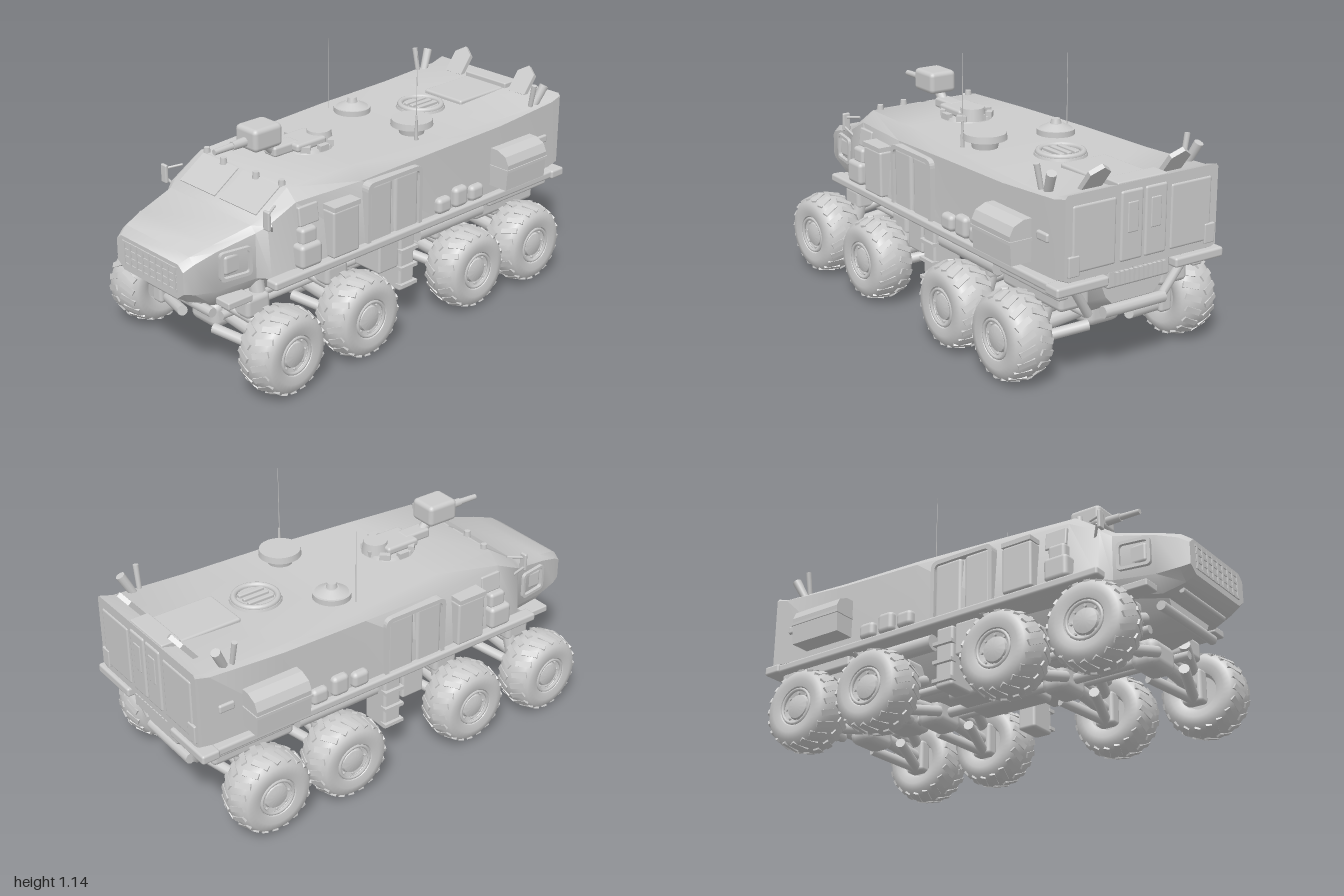
import * as THREE from 'three';
import { toCreasedNormals } from 'three/addons/utils/BufferGeometryUtils.js';
import { RoundedBoxGeometry } from 'three/addons/geometries/RoundedBoxGeometry.js';

const mat = new THREE.MeshStandardMaterial({ color: 0xcccccc });
const V = (x, y, z) => new THREE.Vector3(x, y, z);

function add(parent, name, geo, x = 0, y = 0, z = 0) {
  const m = new THREE.Mesh(geo, mat);
  m.name = name;
  m.position.set(x, y, z);
  parent.add(m);
  return m;
}
// box given by its min and max corners, optionally rounded
function block(parent, name, x0, x1, y0, y1, z0, z1, r = 0) {
  const d = [x1 - x0, y1 - y0, z1 - z0];
  const g = r ? new RoundedBoxGeometry(...d, 2, r) : new THREE.BoxGeometry(...d);
  return add(parent, name, g, (x0 + x1) / 2, (y0 + y1) / 2, (z0 + z1) / 2);
}
function disc(parent, name, x, y0, y1, z, r0, r1 = r0, seg = 24) {
  return add(parent, name, new THREE.CylinderGeometry(r1, r0, y1 - y0, seg), x, (y0 + y1) / 2, z);
}
// round bar between two points
function rod(parent, name, a, b, r, r2 = r) {
  const d = b.clone().sub(a);
  const m = add(parent, name, new THREE.CylinderGeometry(r2, r, d.length(), 10));
  m.position.copy(a).addScaledVector(d, 0.5);
  m.quaternion.setFromUnitVectors(V(0, 1, 0), d.normalize());
  return m;
}
const both = (fn) => [1, -1].forEach(fn);

// Symmetric loft along x; section = [x, then (z, y) pairs from bottom to top]
function loft(sections) {
  const pos = [], idx = [];
  const n = sections[0].length - 1;
  for (const [x, ...p] of sections) {
    for (let i = 0; i < n; i += 2) pos.push(x, p[i + 1], p[i]);
    for (let i = n - 2; i >= 0; i -= 2) pos.push(x, p[i + 1], -p[i]);
  }
  for (let s = 0; s < sections.length - 1; s++)
    for (let i = 0; i < n; i++) {
      const a = s * n + i, b = s * n + (i + 1) % n;
      idx.push(a, a + n, b, b, a + n, b + n);
    }
  const last = (sections.length - 1) * n;
  for (let i = 1; i < n - 1; i++) {
    idx.push(0, i, i + 1);
    idx.push(last, last + i + 1, last + i);
  }
  const g = new THREE.BufferGeometry();
  g.setAttribute('position', new THREE.Float32BufferAttribute(pos, 3));
  g.setIndex(idx);
  return toCreasedNormals(g, 0.7);
}
// rounded rectangular frame
function frame(w, h, r, t, depth) {
  const rr = (S, w, h, r) => new S().moveTo(-w + r, -h).lineTo(w - r, -h).quadraticCurveTo(w, -h, w, -h + r)
    .lineTo(w, h - r).quadraticCurveTo(w, h, w - r, h).lineTo(-w + r, h).quadraticCurveTo(-w, h, -w, h - r)
    .lineTo(-w, -h + r).quadraticCurveTo(-w, -h, -w + r, -h);
  const s = rr(THREE.Shape, w, h, r);
  s.holes.push(rr(THREE.Path, w - t, h - t, r * 0.7));
  return new THREE.ExtrudeGeometry(s, { depth, bevelEnabled: false, curveSegments: 5 });
}

// Wheel: balloon tyre, small dished rim, hub and shallow slanted lugs; outside faces +z
function wheel() {
  const g = new THREE.Group();
  g.name = 'wheel';
  const pts = [[0, -0.04], [0.07, -0.045], [0.08, -0.075], [0.115, -0.09], [0.145, -0.084], [0.165, -0.062], [0.171, -0.03], [0.173, 0],
    [0.171, 0.03], [0.165, 0.062], [0.145, 0.084], [0.115, 0.09], [0.085, 0.082], [0.074, 0.065], [0.055, 0.06], [0.05, 0.072], [0.03, 0.078], [0, 0.08]];
  const tyre = toCreasedNormals(new THREE.LatheGeometry(pts.map(p => new THREE.Vector2(...p)), 36), 0.7);
  add(g, 'tyre', tyre).rotation.x = Math.PI / 2;
  add(g, 'rimRing', new THREE.TorusGeometry(0.074, 0.007, 6, 24), 0, 0, 0.077);
  const lug = new THREE.BoxGeometry(0.024, 0.016, 0.07), bolt = new THREE.CylinderGeometry(0.006, 0.006, 0.014, 6).rotateX(Math.PI / 2);
  for (let i = 0; i < 20; i++) both(s => {
    const p = new THREE.Group();
    p.rotation.z = (i + (s > 0 ? 0 : 0.5)) / 20 * Math.PI * 2;
    g.add(p);
    add(p, 'treadLug', lug, 0, 0.1625, s * 0.042).rotation.set(s * 0.26, s * 0.4, 0);
  });
  for (let i = 0; i < 8; i++) add(g, 'wheelBolt', bolt, 0.062 * Math.cos(i * Math.PI / 4), 0.062 * Math.sin(i * Math.PI / 4), 0.064);
  return g;
}

export function createModel() {
  const root = new THREE.Group();
  root.name = 'armouredTruck';

  // Hull: nose, hood, windshield slope, long body
  add(root, 'hull', loft([
    [-1.0, 0.17, 0.41, 0.21, 0.44, 0.21, 0.53, 0.18, 0.555],
    [-0.96, 0.18, 0.385, 0.225, 0.43, 0.225, 0.555, 0.2, 0.58],
    [-0.87, 0.2, 0.355, 0.245, 0.42, 0.245, 0.585, 0.22, 0.605],
    [-0.7, 0.24, 0.38, 0.275, 0.43, 0.275, 0.62, 0.25, 0.645],
    [-0.66, 0.25, 0.4, 0.32, 0.43, 0.3, 0.645, 0.265, 0.67],
    [-0.53, 0.26, 0.41, 0.35, 0.43, 0.315, 0.71, 0.265, 0.757],
    [-0.2, 0.26, 0.42, 0.36, 0.44, 0.335, 0.71, 0.285, 0.765],
    [0.2, 0.26, 0.42, 0.36, 0.44, 0.356, 0.73, 0.325, 0.762],
    [0.6, 0.26, 0.42, 0.365, 0.45, 0.362, 0.74, 0.342, 0.762],
    [0.93, 0.3, 0.43, 0.365, 0.46, 0.365, 0.765, 0.35, 0.775],
    [0.99, 0.34, 0.46, 0.362, 0.47, 0.362, 0.78, 0.352, 0.792]]));

  // Lower V-shaped chassis, belly equipment and drive line
  add(root, 'chassis', loft([
    [-0.87, 0.1, 0.3, 0.14, 0.33, 0.18, 0.4], [-0.6, 0.1, 0.23, 0.16, 0.27, 0.24, 0.42],
    [0.8, 0.1, 0.23, 0.16, 0.27, 0.24, 0.44], [0.94, 0.1, 0.31, 0.13, 0.34, 0.18, 0.46]]));
  block(root, 'bellyPlate', -0.14, 0.2, 0.195, 0.28, -0.14, 0.14, 0.02);
  block(root, 'transferCase', 0.45, 0.6, 0.17, 0.28, -0.08, 0.08, 0.03);
  rod(root, 'driveShaft', V(-0.7, 0.205, 0), V(0.75, 0.205, 0), 0.022);
  rod(root, 'frontCrossMember', V(-0.86, 0.31, -0.2), V(-0.86, 0.31, 0.2), 0.02);
  both(s => rod(root, 'torsionBar', V(-0.78, 0.25, s * 0.15), V(0.86, 0.25, s * 0.15), 0.018));

  // Grille and tow gear
  const grille = new THREE.Group();
  grille.name = 'grille';
  root.add(grille);
  for (let i = 0; i < 9; i++) block(grille, 'grilleBar', -1.006, -0.985, 0.435, 0.54, -0.165 + i * 0.04, -0.155 + i * 0.04);
  for (let i = 0; i < 4; i++) block(grille, 'grilleSlat', -1.004, -0.985, 0.435 + i * 0.031, 0.446 + i * 0.031, -0.17, 0.17);
  rod(root, 'frontTowBar', V(-0.93, 0.37, -0.16), V(-0.93, 0.37, 0.16), 0.012);

  // Axles, suspension and wheels
  [[-0.7, 0.418, 0.07], [-0.285, 0.402, 0.02], [0.348, 0.402, 0], [0.722, 0.402, 0]].forEach(([x, zc, steer]) => {
    const axle = new THREE.Group();
    axle.name = 'axle';
    root.add(axle);
    block(axle, 'differential', x - 0.06, x + 0.06, 0.143, 0.26, -0.085, 0.085, 0.035);
    both(s => {
      rod(axle, 'halfShaft', V(x, 0.21, s * 0.06), V(x, 0.178, s * 0.36), 0.03);
      both(d => rod(axle, 'lowerArm', V(x + d * 0.08, 0.175, s * 0.1), V(x, 0.135, s * 0.32), 0.022));
      both(d => rod(axle, 'upperArm', V(x + d * 0.06, 0.3, s * 0.15), V(x, 0.24, s * 0.33), 0.024));
      rod(axle, 'damper', V(x + 0.03, 0.4, s * 0.23), V(x + 0.03, 0.19, s * 0.29), 0.034, 0.026);
      block(axle, 'springMount', x - 0.06, x + 0.06, 0.27, 0.36, s * 0.225 - 0.065, s * 0.225 + 0.065, 0.02);
      block(axle, 'hubCarrier', x - 0.045, x + 0.045, 0.115, 0.26, s * 0.325 - 0.03, s * 0.325 + 0.03, 0.015);
      const w = wheel();
      w.position.set(x, 0.18, s * zc);
      w.rotation.y = (s > 0 ? 0 : Math.PI) + steer;
      axle.add(w);
    });
  });

  // Mirrored side equipment
  both(s => {
    const side = new THREE.Group();
    side.name = s > 0 ? 'frontSideFittings' : 'backSideFittings';
    root.add(side);
    const box = (name, x0, x1, y0, y1, z0, z1, r) => block(side, name, x0, x1, y0, y1, Math.min(s * z0, s * z1), Math.max(s * z0, s * z1), r);
    box('sideRail', -0.7, 0.98, 0.412, 0.448, 0.33, 0.39, 0.01);
    for (const x of [-0.56, -0.14, 0.52]) rod(side, 'railStrut', V(x, 0.42, s * 0.36), V(x - 0.06, 0.31, s * 0.2), 0.013);
    box('mudFlap', -0.86, -0.74, 0.355, 0.385, 0.22, 0.3, 0.006);
    // Rounded side door with two panels
    add(side, 'doorFrame', frame(0.155, 0.145, 0.035, 0.018, 0.04), -0.045, 0.56, s > 0 ? 0.335 : -0.375);
    box('doorPanelFront', -0.185, -0.055, 0.43, 0.69, 0.33, 0.366, 0.015);
    box('doorPanelRear', -0.04, 0.095, 0.43, 0.69, 0.33, 0.366, 0.015);
    // Headlight frame on the nose flank
    add(side, 'headlightFrame', frame(0.07, 0.06, 0.02, 0.013, 0.03), -0.79, 0.52, s > 0 ? 0.245 : -0.275).rotation.y = -s * 0.15;
    box('headlight', -0.84, -0.74, 0.48, 0.56, 0.23, 0.262, 0.012);
    // Lockers, cans and tanks along the flank
    box('cabLocker', -0.4, -0.26, 0.45, 0.65, 0.31, 0.39, 0.01);
    box('lockerLid', -0.4, -0.26, 0.65, 0.67, 0.28, 0.395);
    box('cabSideBox', -0.56, -0.45, 0.45, 0.55, 0.31, 0.385, 0.018);
    box('cabSideCan', -0.54, -0.46, 0.54, 0.61, 0.31, 0.365, 0.015);
    // Rear locker with a sloping outer top edge
    const locker = new THREE.Shape([[0.34, 0.485], [0.455, 0.485], [0.462, 0.6], [0.445, 0.635], [0.4, 0.655], [0.34, 0.655]].map(p => new THREE.Vector2(s * p[0], p[1])));
    const lockerGeo = new THREE.ExtrudeGeometry(locker, { depth: 0.25, bevelEnabled: false }).rotateY(-Math.PI / 2);
    add(side, 'rearLocker', lockerGeo, 0.79, 0, 0);
    box('rearLockerStrap', 0.535, 0.795, 0.568, 0.58, 0.35, 0.465);
    box('vent', 0.83, 0.9, 0.59, 0.625, 0.35, 0.376, 0.008);
    for (let i = 0; i < 3; i++) box('stowedCan', 0.2 + i * 0.1, 0.28 + i * 0.1, 0.45, 0.52 + (i % 2) * 0.02, 0.34, 0.39, 0.02);
    rod(side, 'stowedRoll', V(0.13, 0.37, s * 0.32), V(0.52, 0.37, s * 0.32), 0.035);
    box('underLocker', -0.11, 0.0, 0.27, 0.41, 0.2, 0.35, 0.01);
    box('stepBox', 0.01, 0.095, 0.15, 0.41, 0.22, 0.35, 0.012);
    for (let i = 0; i < 3; i++) box('step', 0.005, 0.1, 0.17 + i * 0.08, 0.185 + i * 0.08, 0.33, 0.365);
    box('rearSideTank', 0.52, 0.9, 0.3, 0.42, 0.17, 0.31, 0.02);
    box('rearSidePanel', 0.56, 0.94, 0.37, 0.42, 0.3, 0.35, 0.01);
    rod(side, 'rearSpringArm', V(0.92, 0.42, s * 0.28), V(0.9, 0.27, s * 0.18), 0.018);
    // Windshield pane, cab side window and mirror
    add(side, 'windshield', new THREE.BoxGeometry(0.15, 0.012, 0.22), -0.598, 0.71, s * 0.125).rotation.z = 0.59;
    box('cabWindow', -0.53, -0.43, 0.61, 0.69, 0.312, 0.336, 0.006).rotation.x = -s * 0.12;
    rod(side, 'mirrorArm', V(-0.64, 0.62, s * 0.3), V(-0.67, 0.66, s * 0.33), 0.006);
    box('mirror', -0.685, -0.67, 0.64, 0.72, 0.3, 0.335, 0.006);
    rod(side, 'mirrorStay', V(-0.68, 0.7, s * 0.32), V(-0.61, 0.71, s * 0.285), 0.005);
    for (let i = 0; i < 2; i++) disc(side, 'roofLamp', -0.545 + i * 0.02, 0.75, 0.778, s * (0.1 + i * 0.13), 0.016, 0.013, 10);
    // Pointed rear roof fins, leaning back
    const plate = new THREE.Shape([[-0.047, 0], [0.047, 0], [0.047, 0.1], [0, 0.135], [-0.047, 0.1]].map(p => new THREE.Vector2(...p)));
    const fin = new THREE.ExtrudeGeometry(plate, { depth: 0.02, bevelEnabled: false }).rotateY(Math.PI / 2);
    add(side, 'rearFin', fin, 0.895, 0.775, s * 0.19).rotation.z = -0.66;
    // Launcher tubes and rear panel details
    rod(side, 'launcherTube', V(0.815, 0.74, s * 0.335), V(0.812, 0.87, s * 0.36), 0.01, 0.012);
    rod(side, 'launcherTube', V(0.84, 0.75, s * 0.33), V(0.89, 0.85, s * 0.35), 0.017, 0.02);
    box('rearCornerStep', 0.92, 1.0, 0.41, 0.45, 0.16, 0.4, 0.01);
    box('rearPanel', 0.97, 0.995, 0.49, 0.75, 0.13, 0.33, 0.01);
    box('rearLight', 0.98, 1.0, 0.48, 0.56, 0.3, 0.35, 0.005);
    box('rearDoorLeaf', 0.97, 0.997, 0.49, 0.765, 0.005, 0.11, 0.01);
    box('rearDoorWindow', 0.985, 1.0, 0.6, 0.72, 0.03, 0.08, 0.005);
  });

  // Whip antennas
  disc(root, 'antennaBase', 0.18, 0.74, 0.87, 0.265, 0.01, 0.004, 8);
  disc(root, 'antenna', 0.18, 0.86, 1.145, 0.263, 0.002, 0.001, 6);
  disc(root, 'shortAntenna', 0.175, 0.74, 1.08, -0.26, 0.002, 0.001, 6);

  // Rear bumper plate with louvres and cross tube
  block(root, 'rearBumperPlate', 0.9, 0.975, 0.385, 0.46, -0.15, 0.15, 0.01);
  for (let i = 0; i < 11; i++) block(root, 'louvre', 0.97, 0.988, 0.4, 0.45, -0.12 + i * 0.0225, -0.105 + i * 0.0225);
  rod(root, 'rearCrossTube', V(0.92, 0.272, -0.17), V(0.92, 0.272, 0.125), 0.024);

  // Remote weapon station
  const turret = new THREE.Group();
  turret.name = 'weaponStation';
  root.add(turret);
  disc(turret, 'turretRing', -0.19, 0.755, 0.778, 0, 0.115, 0.105, 16);
  block(turret, 'turretBody', -0.3, -0.14, 0.775, 0.81, -0.07, 0.07, 0.012);
  disc(turret, 'turretSight', -0.13, 0.77, 0.822, 0.01, 0.058, 0.05);
  for (let i = 0; i < 8; i++) {
    const a = i * Math.PI / 4;
    add(turret, 'viewBlock', new THREE.BoxGeometry(0.025, 0.025, 0.045), -0.19 + 0.1 * Math.cos(a), 0.782, 0.1 * Math.sin(a)).rotation.y = -a;
  }
  block(turret, 'gunCradle', -0.39, -0.26, 0.77, 0.812, -0.035, 0.035, 0.01);
  rod(turret, 'gunPost', V(-0.37, 0.79, 0), V(-0.42, 0.845, 0), 0.022);
  block(turret, 'gunHousing', -0.515, -0.368, 0.828, 0.924, -0.064, 0.064, 0.02);
  rod(turret, 'barrelSleeve', V(-0.5, 0.865, 0), V(-0.58, 0.864, 0), 0.02, 0.018);
  rod(turret, 'barrel', V(-0.57, 0.864, 0), V(-0.67, 0.862, 0), 0.014, 0.012);

  // Roof hatches
  disc(root, 'domeBase', 0.225, 0.755, 0.785, -0.165, 0.08);
  disc(root, 'domeCone', 0.225, 0.785, 0.805, -0.165, 0.07, 0.03);
  disc(root, 'domeCap', 0.225, 0.8, 0.825, -0.165, 0.025, 0.018);
  disc(root, 'sensorPedestal', 0.23, 0.75, 0.8, 0.19, 0.05, 0.06);
  disc(root, 'sensorDisc', 0.23, 0.798, 0.825, 0.19, 0.09, 0.087);
  const hatch = new THREE.Group();
  hatch.name = 'roofHatch';
  root.add(hatch);
  disc(hatch, 'hatchBase', 0.48, 0.755, 0.772, 0, 0.11, 0.105);
  add(hatch, 'hatchRing', new THREE.TorusGeometry(0.09, 0.013, 8, 28).rotateX(Math.PI / 2), 0.48, 0.774, 0);
  for (let i = -1; i < 2; i++) block(hatch, 'hatchSlat', 0.42, 0.54, 0.767, 0.785, i * 0.035 - 0.011, i * 0.035 + 0.011, 0.005);
  block(root, 'rearRoofPanel', 0.62, 0.9, 0.755, 0.78, -0.11, 0.11, 0.01);
  block(root, 'rearRoofHinge', 0.9, 0.985, 0.765, 0.797, -0.12, 0.12, 0.006);
  return root;
}
